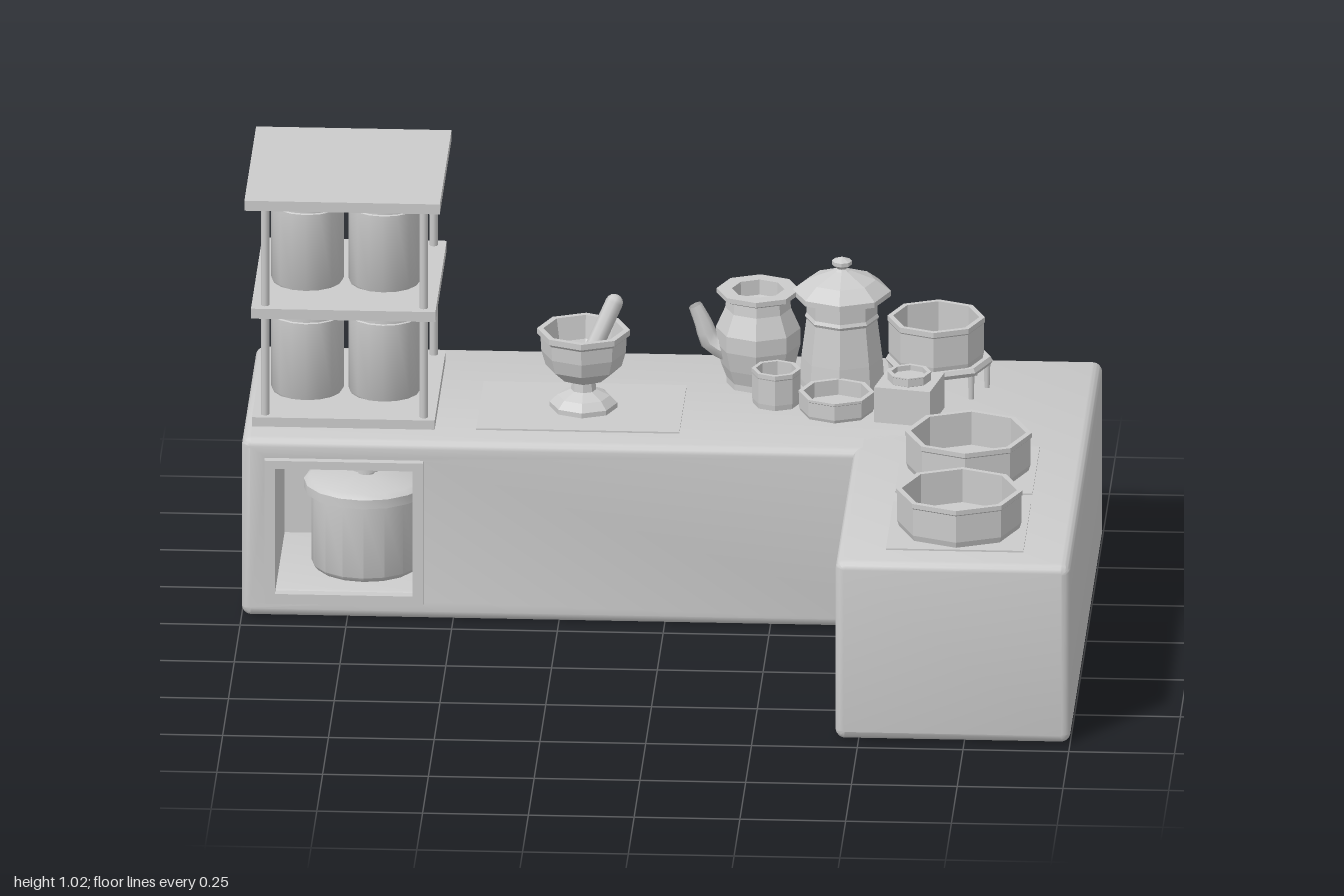
import * as THREE from 'three';
import { toCreasedNormals } from 'three/addons/utils/BufferGeometryUtils.js';

const smooth = new THREE.MeshStandardMaterial({ color: 0xcccccc });
const faceted = new THREE.MeshStandardMaterial({ color: 0xcccccc, flatShading: true });
const TOP = 0.447; // worktop height

export function createModel() {
  const model = new THREE.Group();

  function add(name, geometry, x = 0, y = 0, z = 0, material = smooth) {
    const mesh = new THREE.Mesh(geometry, material);
    mesh.name = name;
    mesh.position.set(x, y, z);
    model.add(mesh);
    return mesh;
  }

  // box given by its limits
  function box(name, x0, x1, y0, y1, z0, z1) {
    return add(name, new THREE.BoxGeometry(x1 - x0, y1 - y0, z1 - z0),
      (x0 + x1) / 2, (y0 + y1) / 2, (z0 + z1) / 2);
  }

  // turned part from [radius, height] pairs, eight sided unless told otherwise
  function turned(name, profile, x, y, z, sides = 8) {
    const points = profile.map(([r, h]) => new THREE.Vector2(r, h));
    let geometry = new THREE.LatheGeometry(points, sides);
    if (sides > 8) geometry = toCreasedNormals(geometry, 0.7);
    return add(name, geometry, x, y, z, sides > 8 ? smooth : faceted);
  }

  // open vessel with straight walls
  function pan(name, r, h, wall, x, y, z) {
    return turned(name, [[0, 0], [r * 0.95, 0], [r * 0.98, h * 0.15], [r * 0.98, h * 0.85], [r, h * 0.88],
      [r, h], [r - wall, h], [r - wall, 0.012], [0, 0.012]], x, y, z);
  }

  function rectangle(x0, x1, y0, y1, r = 0, Type = THREE.Shape) {
    const s = new Type();
    if (r === 0) {
      s.moveTo(x0, y0).lineTo(x1, y0).lineTo(x1, y1).lineTo(x0, y1).lineTo(x0, y0);
      return s;
    }
    s.absarc(x1 - r, y0 + r, r, -Math.PI / 2, 0);
    s.absarc(x1 - r, y1 - r, r, 0, Math.PI / 2);
    s.absarc(x0 + r, y1 - r, r, Math.PI / 2, Math.PI);
    s.absarc(x0 + r, y0 + r, r, Math.PI, Math.PI * 1.5);
    s.closePath();
    return s;
  }

  // L-shaped counter: two softened blocks, the long one pierced by the niche
  function counterBlock(name, shape, z0, z1) {
    const b = 0.02;
    const geometry = new THREE.ExtrudeGeometry(shape, {
      depth: z1 - z0 - 2 * b, bevelThickness: b, bevelSize: b, bevelOffset: -b, bevelSegments: 3, curveSegments: 4,
    });
    add(name, toCreasedNormals(geometry, 0.6), 0, 0, z0 + b);
  }
  const longShape = rectangle(-1, 0.6, 0, TOP, 0.022);
  longShape.holes.push(rectangle(-0.92, -0.595, 0.065, 0.38, 0, THREE.Path));
  counterBlock('counterLongArm', longShape, -0.705, -0.06);
  counterBlock('counterShortArm', rectangle(0.445, 1, 0, TOP, 0.022), -0.705, 0.70);
  box('nicheBack', -0.945, -0.57, 0.04, 0.405, -0.704, -0.46);

  // niche frame and the lidded pot inside
  const frame = rectangle(-0.945, -0.57, 0.04, 0.40);
  frame.holes.push(rectangle(-0.92, -0.595, 0.065, 0.38, 0, THREE.Path));
  add('nicheFrame', new THREE.ExtrudeGeometry(frame, { depth: 0.025, bevelEnabled: false }), 0, 0, -0.065);
  turned('nichePot', [[0, 0], [0.12, 0], [0.13, 0.012], [0.13, 0.19], [0.148, 0.193], [0.148, 0.215],
    [0.135, 0.226], [0.02, 0.232], [0.02, 0.24], [0.037, 0.243], [0.037, 0.254], [0, 0.257]], -0.715, 0.066, -0.25, 16);

  // shelf rack with posts
  box('rackBottom', -0.98, -0.548, TOP, 0.47, -0.62, -0.145);
  box('rackMiddle', -0.982, -0.546, 0.72, 0.745, -0.625, -0.14);
  box('rackTop', -0.997, -0.535, 0.995, 1.02, -0.635, -0.13);
  for (const x of [-0.95, -0.575]) {
    for (const z of [-0.595, -0.168]) {
      add('rackPost', new THREE.CylinderGeometry(0.01, 0.01, 0.55, 8), x, 0.725, z);
    }
  }

  // storage jars, two on each shelf
  for (const y of [0.47, 0.745]) {
    for (const x of [-0.86, -0.677]) {
      turned('jar', [[0, 0], [0.083, 0], [0.086, 0.006], [0.086, 0.192], [0.082, 0.194], [0.082, 0.198],
        [0.088, 0.2], [0.088, 0.207], [0.08, 0.212], [0, 0.212]], x, y, -0.35, 16);
    }
  }

  // flat mats on the worktop
  box('prepMat', -0.45, 0.03, TOP - 0.002, TOP + 0.004, -0.47, -0.15);
  box('rearHob', 0.56, 0.885, TOP - 0.002, TOP + 0.004, -0.10, 0.22);
  box('frontHob', 0.56, 0.885, TOP - 0.002, TOP + 0.004, 0.29, 0.61);
  pan('rearPan', 0.15, 0.095, 0.014, 0.725, TOP + 0.004, 0.065);
  pan('frontPan', 0.15, 0.095, 0.014, 0.725, TOP + 0.004, 0.455);

  // mortar and pestle
  turned('mortar', [[0, 0], [0.08, 0], [0.08, 0.012], [0.062, 0.03], [0.03, 0.045], [0.028, 0.065], [0.06, 0.078],
    [0.09, 0.105], [0.1, 0.14], [0.102, 0.175], [0.11, 0.182], [0.11, 0.196], [0.095, 0.196], [0.085, 0.14],
    [0.05, 0.1], [0, 0.09]], -0.205, TOP + 0.004, -0.31);
  const from = new THREE.Vector3(-0.2, 0.56, -0.3);
  const tip = new THREE.Vector3(-0.13, 0.71, -0.355);
  const pestle = add('pestle', new THREE.CapsuleGeometry(0.021, from.distanceTo(tip) - 0.025, 4, 8));
  pestle.position.copy(from).lerp(tip, 0.5);
  pestle.quaternion.setFromUnitVectors(new THREE.Vector3(0, 1, 0), tip.clone().sub(from).normalize());

  // teapot with a tapering bent spout
  turned('teapot', [[0, 0], [0.075, 0], [0.075, 0.015], [0.088, 0.05], [0.1, 0.1], [0.1, 0.14], [0.078, 0.19],
    [0.075, 0.215], [0.098, 0.225], [0.098, 0.237], [0.062, 0.237], [0.06, 0.2], [0, 0.19]], 0.197, TOP, -0.505);
  const spoutCurve = new THREE.CatmullRomCurve3([
    new THREE.Vector3(0.125, 0.53, -0.505), new THREE.Vector3(0.085, 0.55, -0.505),
    new THREE.Vector3(0.07, 0.59, -0.505), new THREE.Vector3(0.048, 0.64, -0.505)]);
  const spout = new THREE.TubeGeometry(spoutCurve, 6, 0.03, 8);
  const pos = spout.attributes.position;
  const v = new THREE.Vector3();
  for (let i = 0; i < pos.count; i++) {
    const t = Math.floor(i / 9) / 6;
    const centre = spoutCurve.getPointAt(t);
    v.fromBufferAttribute(pos, i).sub(centre).multiplyScalar(1 - 0.45 * t).add(centre);
    pos.setXYZ(i, v.x, v.y, v.z);
  }
  spout.computeVertexNormals();
  add('teapotSpout', spout, 0, 0, 0, new THREE.MeshStandardMaterial({ color: 0xcccccc, side: THREE.DoubleSide }));

  // tall lidded pot
  turned('tallPot', [[0, 0], [0.1, 0], [0.1, 0.015], [0.096, 0.07], [0.084, 0.165], [0.088, 0.172], [0.084, 0.18],
    [0.084, 0.222], [0.116, 0.225], [0.116, 0.238], [0.08, 0.265], [0.02, 0.288], [0.012, 0.293],
    [0.024, 0.303], [0.024, 0.312], [0, 0.322]], 0.395, TOP, -0.505);

  // trivet: ring on short legs, carrying a pan
  const ring = add('trivetRing', new THREE.TorusGeometry(0.115, 0.012, 6, 8), 0.625, 0.515, -0.505, faceted);
  ring.rotation.x = Math.PI / 2;
  for (let i = 0; i < 8; i++) {
    const a = i * Math.PI / 4;
    add('trivetLeg', new THREE.CylinderGeometry(0.009, 0.007, 0.07, 6),
      0.625 + 0.113 * Math.cos(a), TOP + 0.035, -0.505 + 0.113 * Math.sin(a));
  }
  pan('trivetPan', 0.115, 0.105, 0.013, 0.618, 0.52, -0.5);

  // small vessels in front of the pots
  pan('cup', 0.058, 0.088, 0.01, 0.247, TOP, -0.37);
  pan('bowl', 0.09, 0.05, 0.012, 0.392, TOP, -0.325);
  const caddy = box('squareCaddy', 0.497, 0.633, TOP, 0.535, -0.375, -0.239);
  caddy.rotation.y = -0.2;
  pan('caddyRim', 0.052, 0.025, 0.01, 0.565, 0.532, -0.307);

  return model;
}
